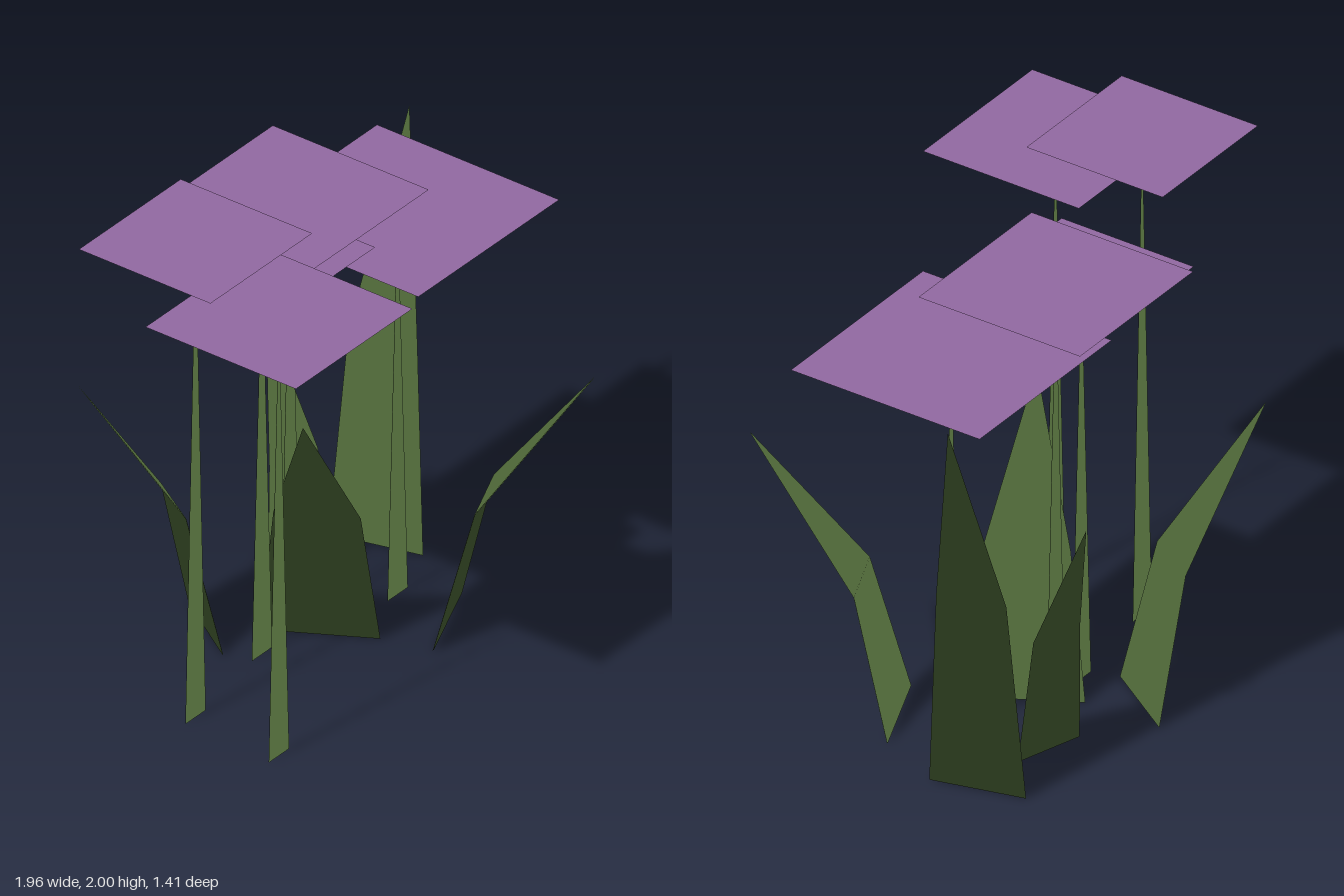
import * as THREE from 'three';

const leafGreen = new THREE.MeshStandardMaterial({ name: 'leafGreen', color: 0x4c6536, side: THREE.DoubleSide });
const petalPurple = new THREE.MeshStandardMaterial({ name: 'petalPurple', color: 0x9168a0, side: THREE.DoubleSide });

// Thin flat convex panel: one face per side, foliage-style normals all point up
function panel(name, corners, material) {
  const points = corners.map((c) => new THREE.Vector3(...c));
  const n = points.length;
  const offset = new THREE.Triangle(points[0], points[1], points[2]).getNormal(new THREE.Vector3()).multiplyScalar(0.001);
  const front = points.map((p) => p.clone().add(offset));
  const back = points.map((p) => p.clone().sub(offset));
  const geometry = new THREE.BufferGeometry().setFromPoints([...front, ...back]);
  const index = [];
  for (let i = 1; i < n - 1; i++) index.push(0, i, i + 1, n, n + i + 1, n + i);
  geometry.setIndex(index);
  const up = [...front, ...back].flatMap(() => [0, 1, 0]);
  geometry.setAttribute('normal', new THREE.Float32BufferAttribute(up, 3));
  const mesh = new THREE.Mesh(geometry, material);
  mesh.name = name;
  return mesh;
}

// Thin tapering stem with a flat square bloom on its tip
function flower({ x, y, z, size }) {
  const group = new THREE.Group();
  group.name = 'flower';
  const w = 0.058, h = size / 2;
  group.add(panel('stem', [[-w, 0, 0], [w, 0, 0], [0, y, 0]], leafGreen));
  group.add(panel('bloom', [[-h, y, h], [h, y, h], [h, y, -h], [-h, y, -h]], petalPurple));
  group.position.set(x, 0, z);
  return group;
}

// Leaf bent at half height: a lower quad and a pointed upper triangle
function leaf({ base, mid, tip }) {
  const group = new THREE.Group();
  group.name = 'leaf';
  const at = (y) => ([x, z]) => [x, y, z];
  const [b0, b1] = base.map(at(0));
  const [m0, m1] = mid.map(at(tip[1] / 2));
  group.add(panel('leafLower', [b0, b1, m1, m0], leafGreen));
  group.add(panel('leafUpper', [m0, m1, tip], leafGreen));
  return group;
}

export function createModel() {
  const model = new THREE.Group();
  model.name = 'floweringPlant';

  const flowers = [
    { x: -0.645, y: 1.84, z: 0.277, size: 0.675 },
    { x: -0.623, y: 2, z: -0.115, size: 0.59 },
    { x: -0.146, y: 1.678, z: -0.185, size: 0.572 },
    { x: 0.083, y: 1.78, z: -0.234, size: 0.7 },
    { x: 0.466, y: 1.612, z: -0.048, size: 0.818 },
  ];
  flowers.forEach((f) => model.add(flower(f)));

  // base and mid are [x, z] pairs for the two edges of each leaf
  const leaves = [
    { base: [[-0.237, -0.29], [-0.033, -0.602]], mid: [[-0.31, -0.4], [-0.175, -0.617]], tip: [-0.55, 1.133, -0.703] },
    { base: [[-0.02, -0.29], [0.193, 0.085]], mid: [[-0.08, -0.185], [0.073, 0.09]], tip: [-0.283, 1.13, 0.105] },
    { base: [[0.18, -0.405], [0.447, -0.325]], mid: [[0.227, -0.44], [0.43, -0.38]], tip: [0.375, 1.013, -0.57] },
    { base: [[0.24, 0.285], [0.613, 0.127]], mid: [[0.35, 0.388], [0.609, 0.275]], tip: [0.642, 1.113, 0.702] },
    { base: [[0.634, -0.49], [0.726, -0.135]], mid: [[0.72, -0.465], [0.786, -0.207]], tip: [0.98, 1.665, -0.393] },
  ];
  leaves.forEach((l) => model.add(leaf(l)));

  return model;
}
